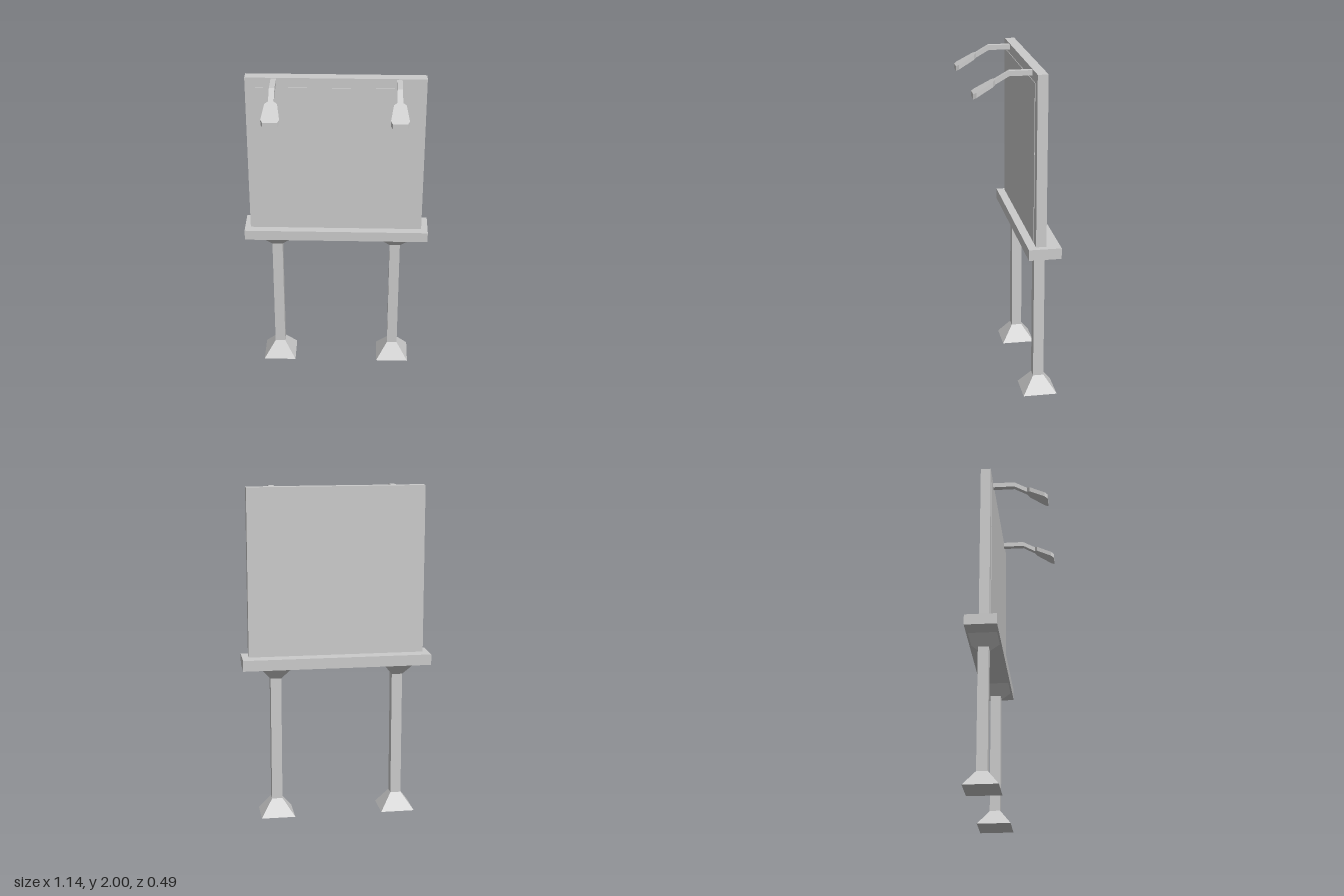
import * as THREE from 'three';

const material = new THREE.MeshStandardMaterial({ color: 0xcccccc, flatShading: true });

function part(name, geometry) {
  const mesh = new THREE.Mesh(geometry, material);
  mesh.name = name;
  return mesh;
}

// Box given by its extents on each axis
function box(name, [x0, x1], [y0, y1], [z0, z1]) {
  const g = new THREE.BoxGeometry(x1 - x0, y1 - y0, z1 - z0);
  g.translate((x0 + x1) / 2, (y0 + y1) / 2, (z0 + z1) / 2);
  return part(name, g);
}

// Square tapered block standing between two heights
function taper(name, bottomWidth, topWidth, y0, y1) {
  const g = new THREE.CylinderGeometry(topWidth * Math.SQRT1_2, bottomWidth * Math.SQRT1_2, y1 - y0, 4);
  g.rotateY(Math.PI / 4);
  g.translate(0, (y0 + y1) / 2, 0);
  return part(name, g);
}

// Post with a flared foot and a flared cap under the ledge
function createLeg() {
  const leg = new THREE.Group();
  leg.name = 'leg';
  leg.add(
    taper('foot', 0.205, 0.064, 0, 0.1),
    taper('post', 0.064, 0.064, 0.1, 0.86),
    taper('cap', 0.064, 0.17, 0.86, 0.925),
  );
  return leg;
}

// Level arm, then a neck and flared head sloping down to the front
function createLamp() {
  const lamp = new THREE.Group();
  lamp.name = 'lamp';
  const thickness = 0.03, bend = 0.035, top = 1.995, slope = 0.565;
  lamp.add(box('arm', [-0.016, 0.016], [top - thickness, top], [-0.1, bend]));

  const half = [[0.016, bend], [0.016, 0.115], [0.036, 0.13], [0.053, 0.225], [0.042, 0.243]];
  const outline = [...half, ...half.map(([x, z]) => [-x, z]).reverse()];
  const shape = new THREE.Shape(outline.map(([x, z]) => new THREE.Vector2(x, z)));
  const g = new THREE.ExtrudeGeometry(shape, { depth: thickness, bevelEnabled: false });
  g.rotateX(Math.PI / 2);
  const p = g.attributes.position;
  for (let i = 0; i < p.count; i++) {
    p.setY(i, top + p.getY(i) - slope * (p.getZ(i) - bend));
  }
  g.computeVertexNormals();
  lamp.add(part('lampHead', g));
  return lamp;
}

export function createModel() {
  const model = new THREE.Group();
  model.name = 'billboard';

  // Board, its thin front sheet and the ledge below
  model.add(
    box('board', [-0.535, 0.527], [0.99, 2], [-0.158, -0.097]),
    box('frontSheet', [-0.473, 0.463], [1.0, 1.94], [-0.1, -0.094]),
    box('ledge', [-0.57, 0.567], [0.925, 0.99], [-0.24, -0.048]),
  );

  // Two legs and two lamps
  for (const side of [-1, 1]) {
    const leg = createLeg();
    leg.position.set(side * 0.37 - 0.003, 0, -0.144);
    const lamp = createLamp();
    lamp.position.x = side * 0.366;
    model.add(leg, lamp);
  }
  return model;
}
